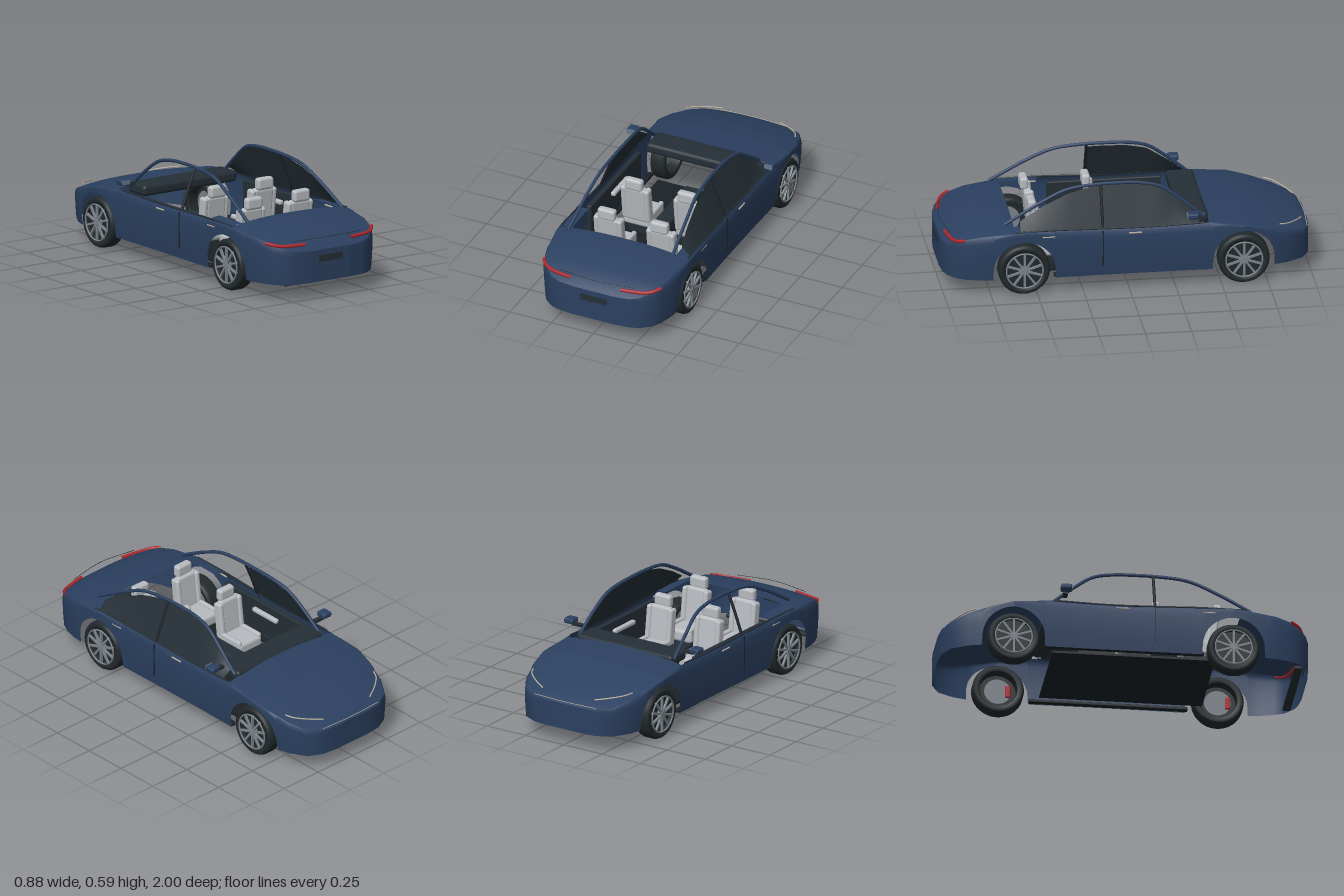
import * as THREE from 'three';
import { RoundedBoxGeometry } from 'three/addons/geometries/RoundedBoxGeometry.js';

const material = (name, color) => new THREE.MeshStandardMaterial({ name, color, side: THREE.DoubleSide });

// Body table, tail to nose: z, half width, shoulder height, centre height
const BODY = [
  [1, 0.13, 0.265, 0.265], [0.992, 0.215, 0.268, 0.274], [0.975, 0.27, 0.279, 0.294], [0.93, 0.328, 0.303, 0.322],
  [0.88, 0.355, 0.322, 0.342], [0.8, 0.378, 0.34, 0.364], [0.65, 0.391, 0.358, 0.388], [0.57, 0.393, 0.364, 0.388],
  [0.3, 0.388, 0.362, 0.38], [0, 0.385, 0.352, 0.37], [-0.25, 0.385, 0.356, 0.38], [-0.43, 0.388, 0.362, 0.388],
  [-0.62, 0.392, 0.343, 0.366], [-0.75, 0.375, 0.312, 0.336], [-0.86, 0.345, 0.28, 0.303], [-0.95, 0.29, 0.25, 0.27],
  [-0.99, 0.21, 0.236, 0.246], [-1, 0.12, 0.235, 0.235],
];
// Roof rail, nose to tail: x, y, z
const RAIL = [
  [0.312, 0.375, -0.41], [0.302, 0.48, -0.285], [0.29, 0.552, -0.18], [0.281, 0.577, -0.07], [0.279, 0.582, 0.05],
  [0.28, 0.58, 0.165], [0.286, 0.56, 0.33], [0.297, 0.498, 0.47], [0.31, 0.385, 0.67],
];
const AXLES = [0.57, -0.62], ARCH = 0.168, TYRE = 0.14;

// Linear lookup in a table sorted by column k
function lookup(rows, k, v) {
  let i = 0;
  while (i < rows.length - 2 && (rows[i + 1][k] - v) * (rows[i + 1][k] - rows[i][k]) < 0) i++;
  const t = (v - rows[i][k]) / (rows[i + 1][k] - rows[i][k]);
  return rows[i].map((a, j) => a + (rows[i + 1][j] - a) * t);
}

// Surface through equal-length rows of points
function surface(rows) {
  const n = rows[0].length, index = [];
  for (let i = 0; i < rows.length - 1; i++)
    for (let j = 0; j < n - 1; j++) {
      const a = i * n + j, b = a + n;
      index.push(a, b, a + 1, b, b + 1, a + 1);
    }
  const g = new THREE.BufferGeometry();
  g.setAttribute('position', new THREE.Float32BufferAttribute(rows.flat(2), 3));
  g.setIndex(index);
  g.computeVertexNormals();
  return g;
}

const curve = (pts) => new THREE.CatmullRomCurve3(pts.map((p) => new THREE.Vector3(...p)));
const tube = (pts, r, segs = 40) => new THREE.TubeGeometry(curve(pts), segs, r, 8);

export function createModel() {
  const car = new THREE.Group();
  car.name = 'car';
  const paint = material('bluePaint', 0x2b4060), dark = material('darkTrim', 0x252f36), black = material('blackFloor', 0x1b2126),
    rubber = material('tyreRubber', 0x22292c), metal = material('wheelMetal', 0x7c848a), seatMat = material('seatGrey', 0xb8bcc0),
    red = material('redLight', 0xb0272d), lamp = material('lampTrim', 0xb5ab9a), mirrorMat = material('mirrorGlass', 0x667889);
  const inward = new THREE.MeshStandardMaterial({ name: 'insideGlass', color: 0x252f36 });

  const add = (name, geometry, mat, x = 0, y = 0, z = 0, parent = car) => {
    const m = new THREE.Mesh(geometry, mat);
    m.name = name;
    m.position.set(x, y, z);
    parent.add(m);
    return m;
  };
  const box = (name, w, h, d, mat, x, y, z, parent, r = 0) =>
    add(name, r ? new RoundedBoxGeometry(w, h, d, 3, r) : new THREE.BoxGeometry(w, h, d), mat, x, y, z, parent);

  // Body wall, with the wheel arches cut into its lower edge
  const zs = BODY.map((r) => r[0]);
  for (const c of AXLES) {
    for (let i = 0; i <= 16; i++) zs.push(c + ARCH * Math.cos((i / 16) * Math.PI));
    zs.push(c + ARCH + 0.001, c - ARCH - 0.001);
  }
  zs.sort((a, b) => b - a);
  const column = (z, s) => {
    const [, w, sh] = lookup(BODY, 0, z);
    let low = 0.09;
    for (const c of AXLES) if (Math.abs(z - c) <= ARCH + 1e-6) low = TYRE + Math.sqrt(Math.max(0, ARCH ** 2 - (z - c) ** 2));
    return [0, 0.3, 0.6, 0.85, 0.95, 1].map((t) => {
      const y = low + (sh - low) * t;
      const under = Math.max(0, (0.27 - y) / 0.18), tuck = t === 1 ? 0.035 : t === 0.95 ? 0.012 : 0;
      return [s * w * (1 - 0.035 * under ** 2 - tuck), y, z];
    });
  };
  const loop = [...zs.map((z) => column(z, 1)), ...[...zs].reverse().map((z) => column(z, -1))];
  loop.push(loop[0]);
  add('bodyShell', surface(loop), paint);

  // Crowned bonnet and boot lid
  const deck = (name, from, to) => {
    const list = [from, ...zs.filter((z) => z < from && z > to), to];
    add(name, surface(list.map((z) => {
      const [, w, sh, top] = lookup(BODY, 0, z);
      return Array.from({ length: 17 }, (_, i) => {
        const u = i / 8 - 1;
        return [u * w * 0.965, sh + (top - sh) * (1 - Math.abs(u) ** 2.5), z];
      });
    })), paint);
  };
  deck('bootLid', 1, 0.62);
  deck('bonnet', -0.43, -1);

  // Cabin floor, console, dashboard, rear valance, number plate and end trims
  box('floor', 0.58, 0.012, 0.88, black, 0, 0.1, 0.04);
  box('console', 0.09, 0.13, 0.385, dark, 0, 0.17, -0.04, car, 0.012);
  box('dashboard', 0.62, 0.06, 0.15, dark, 0, 0.365, -0.36, car, 0.02);
  box('rearValance', 0.54, 0.024, 0.045, dark, 0, 0.091, 0.935, car, 0.01);
  box('numberPlate', 0.154, 0.036, 0.009, dark, 0, 0.217, 1);
  add('bootTrim', tube([[-0.22, 0.322, 0.958], [0, 0.327, 0.985], [0.22, 0.322, 0.958]], 0.0015), dark);
  add('noseTrim', tube([[-0.2, 0.245, -0.985], [0, 0.245, -0.994], [0.2, 0.245, -0.985]], 0.002), lamp);

  for (const s of [1, -1]) {
    const side = new THREE.Group();
    side.name = s > 0 ? 'leftSide' : 'rightSide';
    car.add(side);

    // Roof rail, and side glass: the right side has only a front pane, facing the cabin
    add('roofRail', tube(RAIL.map(([x, y, z]) => [s * x, y, z]), 0.0095, 60), paint, 0, 0, 0, side);
    const rows = [], step = (s > 0 ? 0.97 : 0.525) / 30;
    for (let i = 0; i <= 30; i++) {
      const z = -0.38 + i * step, [rx, ry] = lookup(RAIL, 2, z), [, w, sh] = lookup(BODY, 0, z);
      const gap = s > 0 ? Math.max(0, Math.min(0.022, (z - 0.15) * 0.12)) : 0.02;
      const t = Math.max(0, (ry - gap - sh) / Math.max(0.01, ry - sh)), bx = w * 0.96;
      rows.push([0, 0.5, 1].map((k) => [s * (bx + (rx - bx) * t * k), sh + (ry - sh) * t * k, z]));
    }
    add('sideGlass', surface(s > 0 ? rows : rows.reverse()), s > 0 ? dark : inward, 0, 0, 0, side);
    add('centrePillar', tube([[s * 0.37, 0.355, 0.145], [s * 0.327, 0.47, 0.145], [s * 0.282, 0.578, 0.145]], 0.008, 8), black, 0, 0, 0, side);
    add('beltTrim', tube([0.62, 0.4, 0.15, -0.1, -0.4].map((z) => {
      const [, w, sh] = lookup(BODY, 0, z);
      return [s * w * 0.966, sh + 0.002, z];
    }), 0.005), dark, 0, 0, 0, side);

    // Haunch panel between the rear wing and the rail
    add('rearHaunch', surface([0.62, 0.55, 0.48, 0.41].map((z) => {
      const [, w, sh] = lookup(BODY, 0, z);
      return [[s * w * 0.965, sh, z], [s * 0.34, sh + 0.008, z], [s * 0.312, sh + 0.01, z]];
    })), paint, 0, 0, 0, side);

    // Door lining, armrest, seam, handles and sill
    box('doorLining', 0.03, 0.2, 0.62, dark, s * 0.34, 0.25, 0.045, side, 0.008);
    box('armrest', 0.028, 0.026, 0.19, seatMat, s * 0.313, 0.295, 0.02, side, 0.01);
    box('doorSeam', 0.006, 0.2, 0.005, black, s * 0.3855, 0.25, 0.145, side);
    for (const z of [0.44, -0.03]) box('doorHandle', 0.008, 0.008, 0.07, lamp, s * 0.388, 0.332, z, side, 0.003);
    box('sill', 0.03, 0.02, 0.86, black, s * 0.355, 0.1, -0.02, side, 0.006);

    // Door mirror
    box('mirrorArm', 0.06, 0.016, 0.025, dark, s * 0.365, 0.408, -0.34, side);
    box('mirrorHousing', 0.058, 0.032, 0.06, paint, s * 0.41, 0.425, -0.34, side, 0.011);
    box('mirrorGlass', 0.046, 0.022, 0.005, mirrorMat, s * 0.41, 0.425, -0.309, side);

    // Tail light and slim headlight
    add('tailLight', tube([[0.15, 0.3, 0.972], [0.22, 0.3, 0.96], [0.28, 0.301, 0.945], [0.32, 0.308, 0.924], [0.35, 0.317, 0.887]]
      .map(([x, y, z]) => [s * x, y, z]), 0.0095), red, 0, 0, 0, side);
    add('headlight', tube([[0.17, 0.279, -0.955], [0.24, 0.291, -0.915], [0.305, 0.304, -0.86], [0.325, 0.311, -0.82]]
      .map(([x, y, z]) => [s * x, y, z]), 0.004), lamp, 0, 0, 0, side);

    // Seats, front and rear
    for (const z of [0.055, 0.39]) {
      const seat = new THREE.Group();
      seat.name = z < 0.2 ? 'frontSeat' : 'rearSeat';
      seat.position.set(s * 0.157, 0, z);
      side.add(seat);
      box('cushion', 0.165, 0.07, 0.18, seatMat, 0, 0.19, 0, seat, 0.02);
      box('backrest', 0.13, 0.22, 0.045, seatMat, 0, 0.303, 0.088, seat, 0.018).rotation.x = 0.12;
      for (const e of [-1, 1]) {
        box('backBolster', 0.032, 0.21, 0.055, seatMat, e * 0.068, 0.303, 0.083, seat, 0.014).rotation.x = 0.12;
        box('cushionBolster', 0.028, 0.08, 0.17, seatMat, e * 0.07, 0.2, 0, seat, 0.013);
      }
      box('headrest', 0.104, 0.068, 0.045, seatMat, 0, 0.437, 0.115, seat, 0.016);
      box('seatBase', 0.12, 0.06, 0.13, dark, 0, 0.135, 0, seat);
    }

    // Wheels: tyre, dark barrel, recessed brake and ten spokes
    for (const z of AXLES) {
      const wheel = new THREE.Group();
      wheel.name = z > 0 ? 'rearWheel' : 'frontWheel';
      wheel.position.set(s * 0.337, TYRE, z);
      wheel.rotation.y = s > 0 ? 0 : Math.PI;
      side.add(wheel);
      const profile = [[0.104, -0.04], [0.122, -0.045], [0.134, -0.04], [0.14, -0.026], [0.14, 0.026], [0.134, 0.04],
        [0.122, 0.045], [0.104, 0.04], [0.1, 0.03], [0.1, -0.03], [0.104, -0.04]].map((p) => new THREE.Vector2(...p));
      add('tyre', new THREE.LatheGeometry(profile, 48), rubber, 0, 0, 0, wheel).rotation.z = -Math.PI / 2;
      add('wheelBack', new THREE.CylinderGeometry(0.1, 0.1, 0.006, 40), rubber, 0.02, 0, 0, wheel).rotation.z = Math.PI / 2;
      add('brakeDisc', new THREE.CylinderGeometry(0.072, 0.072, 0.01, 32), metal, 0.006, 0, 0, wheel).rotation.z = Math.PI / 2;
      box('brakeCaliper', 0.022, 0.07, 0.028, red, 0.002, 0, s * 0.055, wheel, 0.006);
      add('rimRing', new THREE.TorusGeometry(0.099, 0.0045, 8, 48), metal, 0.047, 0, 0, wheel).rotation.y = Math.PI / 2;
      add('hub', new THREE.CylinderGeometry(0.018, 0.021, 0.03, 20), metal, 0.037, 0, 0, wheel).rotation.z = -Math.PI / 2;
      for (let i = 0; i < 10; i++) {
        const a = (i / 10) * Math.PI * 2;
        box('spoke', 0.012, 0.088, 0.011, metal, 0.043, Math.cos(a) * 0.055, Math.sin(a) * 0.055, wheel).rotation.x = a;
      }
    }
  }
  return car;
}
